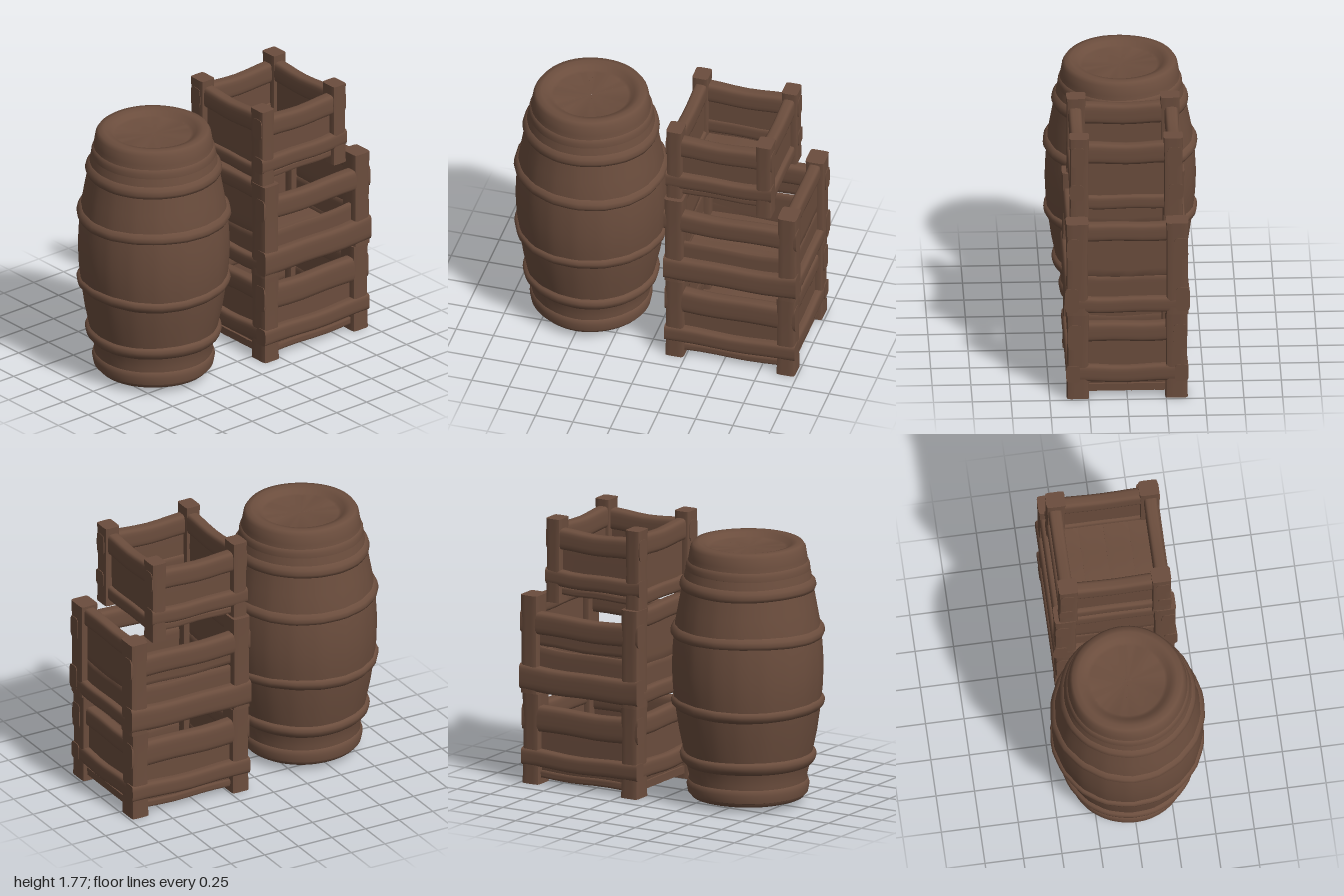
import * as THREE from 'three';
import { mergeVertices, toCreasedNormals } from 'three/addons/utils/BufferGeometryUtils.js';

const wood = new THREE.MeshStandardMaterial({ color: 0x6b4d3d });
wood.name = 'weatheredWood';

// Weld the vertices and smooth all but the sharp edges
function finish(geo, crease = 0.8) {
  geo.deleteAttribute('uv');
  geo.deleteAttribute('normal');
  return toCreasedNormals(mergeVertices(geo, 1e-4), crease);
}

function add(parent, name, geo) {
  const mesh = new THREE.Mesh(geo, wood);
  mesh.name = name;
  parent.add(mesh);
  return mesh;
}

// Worn timber between two corners: rounded section, slightly waisted and sagging along its axis
function timber(parent, name, min, max, axis, { waist = 0.06, sag = 0.012, power = 5 } = {}) {
  const size = max.map((m, i) => m - min[i]);
  const seg = size.map((s, i) => (i === axis ? 8 : 6));
  const geo = new THREE.BoxGeometry(2, 2, 2, ...seg);
  const pos = geo.attributes.position;
  const [a, b] = [0, 1, 2].filter((i) => i !== axis);
  for (let i = 0; i < pos.count; i++) {
    const p = [pos.getX(i), pos.getY(i), pos.getZ(i)];
    const u = p[a], v = p[b], t = p[axis];
    const norm = Math.pow(Math.abs(u) ** power + Math.abs(v) ** power, 1 / power);
    const mid = 1 - t * t;
    const k = (norm > 0 ? Math.max(Math.abs(u), Math.abs(v)) / norm : 1) * (1 - waist * mid);
    p[a] *= k;
    p[b] *= k;
    const q = p.map((c, j) => (min[j] + max[j]) / 2 + (c * size[j]) / 2);
    if (axis !== 1) q[1] -= sag * mid + 0.004 * Math.sin(t * 5 + min[1] * 9);
    pos.setXYZ(i, ...q);
  }
  return add(parent, name, finish(geo));
}

// Slatted crate: four posts, rails, recessed panels and a floor
function crate(name, c) {
  const g = new THREE.Group();
  g.name = name;
  const { x0, x1, z, y0, y1, post } = c;
  for (const s of [-1, 1]) {
    const span = (outer, depth) => [Math.min(s * outer, s * (outer - depth)), Math.max(s * outer, s * (outer - depth))];
    const [pz0, pz1] = span(z, post + 0.02);
    timber(g, 'cornerPost', [x0, y0, pz0], [x0 + post, y1, pz1], 1, { power: 9 });
    timber(g, 'cornerPost', [x1 - post, y0, pz0], [x1, y1, pz1], 1, { power: 9 });

    // Front and back rails
    for (const [a, b, out] of c.rails) {
      const [r0, r1] = span(z + out, 0.09);
      timber(g, 'longRail', [x0 - 0.002, a, r0], [x1 + 0.002, b, r1], 0);
    }
    const [f0, f1] = span(z - 0.05, 0.03);
    for (const [a, b] of s > 0 ? c.frontPanels : c.backPanels) {
      timber(g, 'longPanel', [x0 + 0.04, a, f0], [x1 - 0.04, b, f1], 0, { waist: 0.02, power: 12 });
    }

    // Rails and panels on the left and right sides
    const side = (outer, depth) => (s > 0 ? [x1 - outer - depth, x1 - outer] : [x0 + outer, x0 + outer + depth]);
    for (const [a, b, inset] of c.sideRails) {
      const [r0, r1] = side(inset, 0.085);
      timber(g, 'sideRail', [r0, a, -z + 0.01], [r1, b, z - 0.01], 2);
    }
    const [q0, q1] = side(0.045, 0.035);
    for (const [a, b] of c.sidePanels) {
      timber(g, 'sidePanel', [q0, a, -z + 0.05], [q1, b, z - 0.05], 2, { waist: 0.02, power: 12 });
    }
  }

  // Floor planks
  const n = 4, w = (2 * z - 0.08) / n;
  for (let i = 0; i < n; i++) {
    const za = -z + 0.04 + i * w;
    timber(g, 'floorPlank', [x0 + 0.03, c.floor, za - 0.004], [x1 - 0.03, c.floor + 0.05, za + w + 0.004], 0,
      { waist: 0, sag: 0.004, power: 14 });
  }
  return g;
}

// Turned shape with slightly uneven staves
function turned(parent, name, profile, wobble, segments = 54) {
  const geo = new THREE.LatheGeometry(profile.map(([r, y]) => new THREE.Vector2(Math.max(r, 0.001), y)), segments);
  const pos = geo.attributes.position;
  for (let i = 0; i < pos.count; i++) {
    const x = pos.getX(i), y = pos.getY(i), z = pos.getZ(i);
    const th = Math.atan2(z, x);
    const belly = Math.max(0, Math.sin(((y - 0.04) / 1.68) * Math.PI));
    const k = 1 + wobble * (Math.sin(th * 18) * belly + 0.8 * Math.sin(th * 5 + y * 4));
    pos.setXYZ(i, x * k, y + 0.006 * Math.sin(th * 3 + y * 7) * belly, z * k);
  }
  return add(parent, name, finish(geo, 0.9));
}

function barrel() {
  const g = new THREE.Group();
  g.name = 'barrel';
  turned(g, 'barrelBody', [
    [0, 0.13], [0.15, 0.13], [0.27, 0.12], [0.29, 0.06], [0.32, 0.04], [0.36, 0.04], [0.378, 0.06],
    [0.388, 0.12], [0.38, 0.18], [0.4, 0.26], [0.418, 0.35], [0.445, 0.48], [0.466, 0.62], [0.482, 0.76],
    [0.488, 0.9], [0.482, 1.03], [0.47, 1.17], [0.447, 1.3], [0.425, 1.42], [0.408, 1.52], [0.392, 1.57],
    [0.382, 1.63], [0.372, 1.69], [0.355, 1.715], [0.32, 1.72], [0.28, 1.71], [0.26, 1.685], [0.24, 1.68], [0, 1.68],
  ], 0.006);

  // Raised hoops: height, outer radius, half width, slope
  for (const [y, r, h, slope] of [
    [0.3, 0.437, 0.05, 0.01], [0.66, 0.493, 0.045, 0.008], [1.145, 0.495, 0.045, -0.008], [1.455, 0.438, 0.05, -0.01],
  ]) {
    turned(g, 'barrelHoop', [
      [r - 0.05 - slope, y - h], [r - 0.015 - slope, y - h * 0.75], [r - slope * 0.4, y - h * 0.3],
      [r + slope * 0.4, y + h * 0.3], [r - 0.015 + slope, y + h * 0.75], [r - 0.05 + slope, y + h],
    ], 0.005);
  }
  // Thick collar below the top and above the foot
  turned(g, 'barrelCollar', [[0.37, 1.535], [0.402, 1.545], [0.4, 1.575], [0.39, 1.6], [0.37, 1.61]], 0.004);
  turned(g, 'barrelFoot', [[0.36, 0.06], [0.387, 0.07], [0.396, 0.12], [0.385, 0.155], [0.36, 0.165]], 0.004);
  g.position.set(-0.49, 0, -0.005);
  return g;
}

export function createModel() {
  const model = new THREE.Group();
  model.name = 'barrelAndCrates';
  model.add(barrel());

  model.add(crate('bottomCrate', {
    x0: 0.115, x1: 0.985, z: 0.39, y0: 0, y1: 0.6, post: 0.125, floor: 0.04,
    rails: [[0.12, 0.235, 0.005], [0.355, 0.53, -0.005]],
    frontPanels: [[0.06, 0.46]], backPanels: [[0.06, 0.46]],
    sideRails: [[0.12, 0.24, 0], [0.4, 0.535, 0.02]], sidePanels: [[0.06, 0.5]],
  }));
  model.add(crate('middleCrate', {
    x0: 0.11, x1: 0.995, z: 0.395, y0: 0.6, y1: 1.25, post: 0.125, floor: 0.63,
    rails: [[0.62, 0.79, 0.008], [1.0, 1.15, -0.005]],
    frontPanels: [[0.66, 0.9]], backPanels: [[0.66, 0.91], [0.92, 1.08]],
    sideRails: [[0.62, 0.73, 0.0], [1.12, 1.245, 0.02]], sidePanels: [[0.66, 0.87], [0.86, 1.18]],
  }));
  model.add(crate('topCrate', {
    x0: 0.115, x1: 0.82, z: 0.365, y0: 1.22, y1: 1.775, post: 0.105, floor: 1.275,
    rails: [[1.335, 1.445, 0], [1.575, 1.715, -0.01]],
    frontPanels: [[1.28, 1.65]], backPanels: [[1.28, 1.65]],
    sideRails: [[1.27, 1.37, 0.015], [1.59, 1.735, 0.015]], sidePanels: [[1.28, 1.7]],
  }));
  return model;
}
